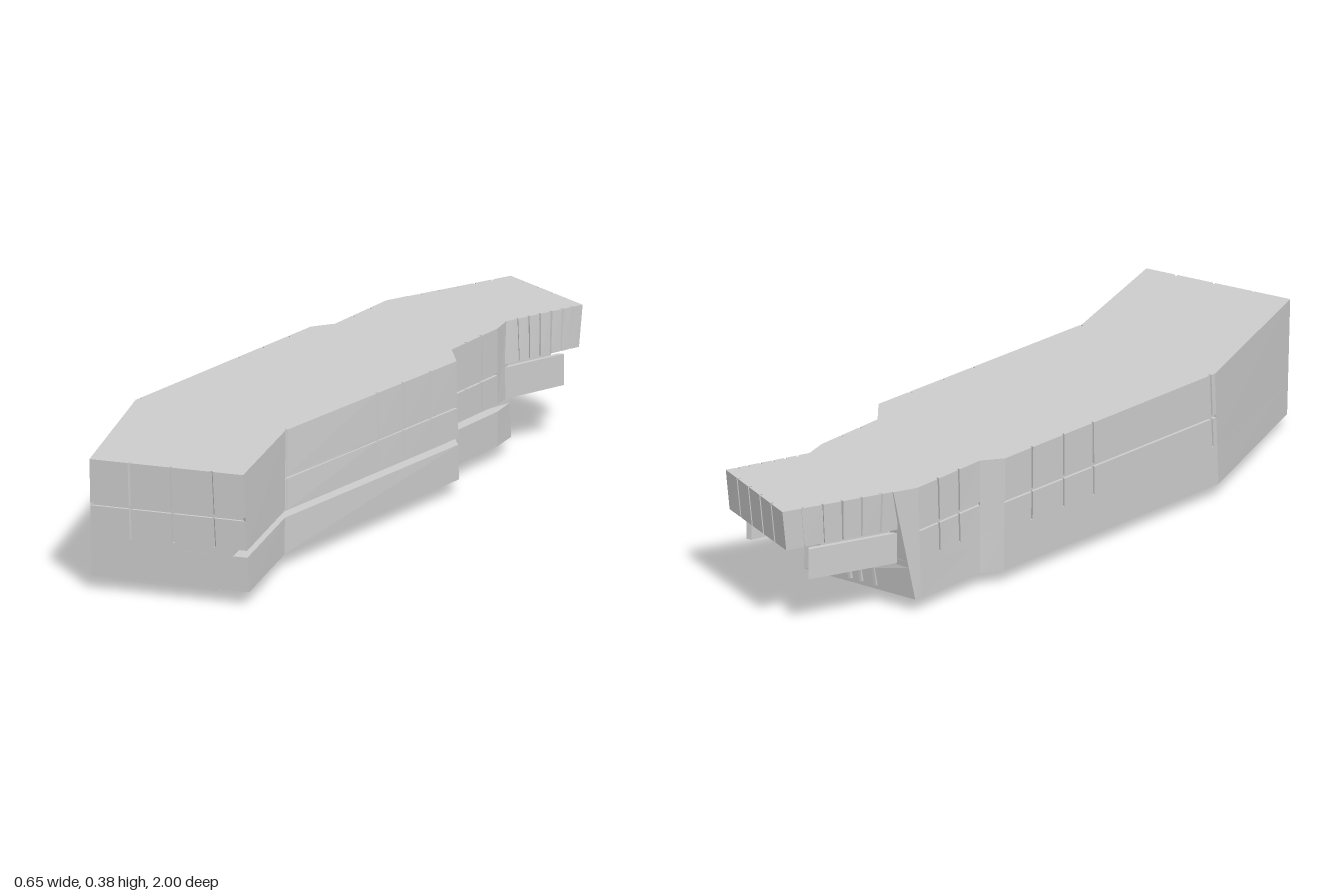
import * as THREE from 'three';

const material = new THREE.MeshStandardMaterial({ color: 0xcccccc, flatShading: true });
const BASE = 0.04, LEDGE = 0.14, FLOOR = 0.16, MID = 0.25, ROOF = 0.38;

// Plan outlines [x, z], counterclockwise from above: at the foot and at the roof
const footPlan = [[-0.115, 0.985], [0.323, 0.85], [0.2, 0.52], [0.19, -0.3], [0.11, -0.375], [0.1, -0.6],
  [0.08, -0.69], [-0.285, -0.62], [-0.29, -0.6], [-0.285, -0.37], [-0.317, -0.31], [-0.317, 0.52]];
const roofPlan = [[-0.112, 1], [0.313, 0.865], [0.17, 0.475], [0.182, -0.3], [0.11, -0.375], [0.1, -0.6],
  [0.08, -0.67], [-0.27, -0.69], [-0.295, -0.62], [-0.285, -0.37], [-0.323, -0.31], [-0.323, 0.5]];
// Cantilevered rear block
const rearFoot = [[0.085, -0.65], [0.157, -0.9], [-0.15, -0.985], [-0.265, -0.67]];
const rearRoof = [[0.075, -0.65], [0.162, -0.91], [-0.15, -1], [-0.275, -0.67]];

const mix = (a, b, t) => [a[0] + (b[0] - a[0]) * t, a[1] + (b[1] - a[1]) * t];
const ringBetween = (lo, hi, y0, y1) => y => lo.map((p, i) => mix(p, hi[i], (y - y0) / (y1 - y0)));
const mainRing = ringBetween(footPlan, roofPlan, BASE, ROOF);
const rearRing = ringBetween(rearFoot, rearRoof, 0.26, ROOF);

// Moves every edge of an outline inward by d, with mitred corners
function inset(ring, d) {
  const n = ring.length;
  const normal = (a, b) => {
    const dx = b[0] - a[0], dz = b[1] - a[1], l = Math.hypot(dx, dz);
    return [dz / l, -dx / l];
  };
  return ring.map((p, i) => {
    const u = normal(ring[(i + n - 1) % n], p), v = normal(p, ring[(i + 1) % n]);
    const k = d / (1 + u[0] * v[0] + u[1] * v[1]);
    return [p[0] + (u[0] + v[0]) * k, p[1] + (u[1] + v[1]) * k];
  });
}

// Closed solid between a lower and an upper outline
function solid(parent, name, lower, y0, upper, y1) {
  const pos = [], n = lower.length;
  const put = (ring, y, i) => pos.push(ring[i][0], y, ring[i][1]);
  for (let i = 0; i < n; i++) {
    const j = (i + 1) % n;
    put(lower, y0, i); put(lower, y0, j); put(upper, y1, j);
    put(lower, y0, i); put(upper, y1, j); put(upper, y1, i);
  }
  const caps = ring => THREE.ShapeUtils.triangulateShape(ring.map(p => new THREE.Vector2(p[0], -p[1])), []);
  for (const f of caps(upper)) f.forEach(i => put(upper, y1, i));
  for (const f of caps(lower)) [f[2], f[1], f[0]].forEach(i => put(lower, y0, i));
  const geometry = new THREE.BufferGeometry();
  geometry.setAttribute('position', new THREE.Float32BufferAttribute(pos, 3));
  geometry.computeVertexNormals();
  const mesh = new THREE.Mesh(geometry, material);
  mesh.name = name;
  parent.add(mesh);
}

// Strip of cladding on edge i from t0 to t1, between the outline and its inset (negative depth stands proud)
function panel(parent, name, ringAt, i, t0, t1, y0, y1, depth) {
  const quad = y => {
    const outer = ringAt(y), inner = inset(outer, depth), j = (i + 1) % outer.length;
    const q = [mix(outer[i], outer[j], t0), mix(outer[i], outer[j], t1),
      mix(inner[i], inner[j], t1), mix(inner[i], inner[j], t0)];
    return depth < 0 ? [q[3], q[2], q[1], q[0]] : q;
  };
  solid(parent, name, quad(y0), y0, quad(y1), y1);
}

// Splits an edge into panels with open joints at the given fractions
function panelRow(parent, name, ringAt, i, joints, y0, y1) {
  const ring = ringAt(y1), a = ring[i], b = ring[(i + 1) % ring.length];
  const half = 0.003 / Math.hypot(b[0] - a[0], b[1] - a[1]);
  const stops = [0, ...joints, 1];
  for (let k = 0; k + 1 < stops.length; k++) {
    panel(parent, name, ringAt, i, stops[k] + (k ? half : 0),
      stops[k + 1] - (k + 2 < stops.length ? half : 0), y0, y1, 0.008);
  }
}

function group(parent, name) {
  const g = new THREE.Group();
  g.name = name;
  parent.add(g);
  return g;
}

export function createModel() {
  const model = new THREE.Group();
  model.name = 'building';

  // Ground floor, with a shadow groove along its left side
  solid(model, 'groundFloor', mainRing(BASE), BASE, mainRing(LEDGE), LEDGE);
  const groove = y => mainRing(y).map((p, i) =>
    i === 1 ? [p[0] - 0.04, p[1] + 0.012] : i > 1 && i < 6 ? [p[0] - 0.035, p[1]] : p);
  solid(model, 'shadowGroove', groove(LEDGE), LEDGE, groove(FLOOR), FLOOR);

  // Upper floors: core and cladding
  solid(model, 'upperCore', inset(mainRing(FLOOR), 0.008), FLOOR, inset(mainRing(ROOF), 0.008), ROOF);
  const cladding = group(model, 'cladding');
  const windows = {
    0: [0.255, 0.53, 0.795], 2: [0.01, 0.54, 0.69, 0.85], 4: [0.33, 0.66],
    8: [0.33, 0.66], 10: [0.13, 0.28, 0.42, 0.98],
  };
  for (let i = 0; i < roofPlan.length; i++) {
    if (windows[i]) {
      panelRow(cladding, 'lowerPanel', mainRing, i, windows[i], FLOOR, 0.245);
      panelRow(cladding, 'upperPanel', mainRing, i, windows[i], 0.255, ROOF);
    } else {
      panelRow(cladding, 'blankWall', mainRing, i, [], FLOOR, ROOF);
    }
  }

  // Rear block with vertical panels
  const rear = group(model, 'rearBlock');
  solid(rear, 'rearCore', inset(rearRing(0.26), 0.008), 0.26, inset(rearRing(ROOF), 0.008), ROOF);
  panelRow(rear, 'sidePanel', rearRing, 0, [0.2, 0.34, 0.48, 0.62, 0.76, 0.88], 0.26, ROOF);
  panelRow(rear, 'endPanel', rearRing, 1, [0.2, 0.4, 0.6, 0.8], 0.26, ROOF);
  panelRow(rear, 'sidePanel', rearRing, 2, [0.17, 0.34, 0.51, 0.68, 0.85], 0.26, ROOF);

  // Stepped underside rising to the rear
  const [h0, e0, e1, h1] = inset(rearFoot, 0.012);
  const steps = 8;
  for (let k = 0; k < steps; k++) {
    const t0 = k * 0.085, t1 = t0 + 0.085;
    const strip = [mix(h0, e0, t0), mix(h0, e0, t1), mix(h1, e1, t1), mix(h1, e1, t0)];
    solid(rear, 'step', strip, FLOOR + k * 0.012, strip, 0.262);
  }

  // Side screens beside the steps
  for (const [edge, t0, t1] of [[0, 0, 0.8], [2, 0.2, 1]]) {
    panel(rear, 'sideScreen', () => rearFoot, edge, t0, t1, FLOOR, MID, 0.014);
  }

  // Door frames in the rear wall
  for (const t of [0.3, 0.52]) {
    panel(model, 'doorPost', mainRing, 6, t, t + 0.025, 0.055, 0.125, -0.01);
    panel(model, 'doorPost', mainRing, 6, t + 0.125, t + 0.15, 0.055, 0.125, -0.01);
    panel(model, 'doorHead', mainRing, 6, t, t + 0.15, 0.115, 0.125, -0.01);
  }

  // Plinths under the floor
  const plinth = (w, h, d, x, y, z, turn) => {
    const mesh = new THREE.Mesh(new THREE.BoxGeometry(w, h, d), material);
    mesh.name = 'plinth';
    mesh.position.set(x, y, z);
    mesh.rotation.y = turn;
    model.add(mesh);
  };
  plinth(0.26, 0.042, 0.7, -0.075, 0.021, 0.17, 0);
  plinth(0.305, 0.028, 0.2, 0.02, 0.028, 0.78, 0.3);

  return model;
}
